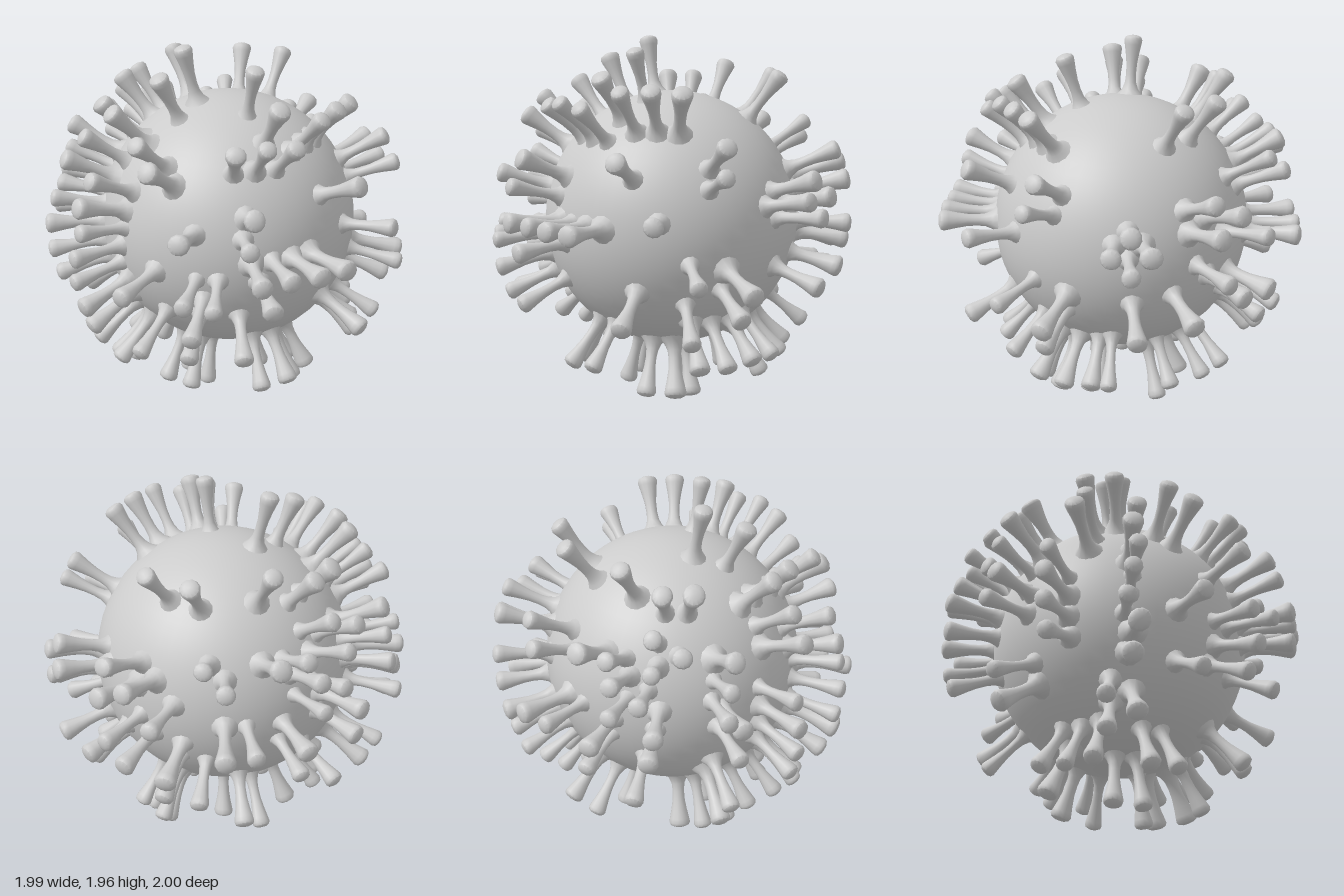
import * as THREE from 'three';
import { toCreasedNormals } from 'three/addons/utils/BufferGeometryUtils.js';

const CORE_R = 0.695;
const CENTER_Y = 1.02;
const ROW_GAP = 0.16;
const RING_R = 0.1;

// Spikes grow singly, in short rows (tilt in degrees, 0 = level) or in rings.
// Each centre is [azimuth, elevation] in degrees (azimuth 0 = front, 90 = left).
const CLUMPS = [
  { size: 1, tilt: 0, at: [
    [-18, 16], [10, -5], [-36, -4], [2, -24], [-34, -26], [46, 26], [48, -24], [24, 55],
    [24, 72], [-83, 76], [-60, 64], [59, 8], [72, -10], [118, -16], [71, -30], [145, 53],
    [210, 55], [169, 53], [163, 10], [224, -19], [136, -13], [177, -19], [108, -40],
    [185, -69], [-118, -64]] },
  { size: 2, tilt: 0, at: [
    [-12, -4], [19, -47], [239, 50], [209, 29], [190, 2], [57, -62], [-35, -58],
    [-50, -76], [-70, 47]] },
  { size: 2, tilt: 80, at: [
    [4, 19], [-15, -19], [82, 26], [88, -18], [-103, 3], [210, -4], [230, 3], [166, -14],
    [158, -44], [137, -54], [80, -74], [-56, 22], [-56, -20], [-75, 31], [-105, -28]] },
  { size: 2, tilt: 135, at: [[-36, 38], [182, 27], [150, -4], [197, -39]] },
  { size: 3, tilt: 0, at: [[12, 43], [88, -43], [-90, -56], [55, 49]] },
  { size: 3, tilt: 80, at: [[-105, 20], [-57, 1]] },
  { size: 3, ring: true, at: [[147, 19], [220, 17], [233, 32], [-62, -41]] },
  { size: 4, tilt: 0, at: [[20, 4]] },
  { size: 4, tilt: 90, at: [[-83, -3]] },
  { size: 4, ring: true, at: [[116, 12]] },
];

let seed = 7;
const rand = () => (seed = (seed * 16807) % 2147483647) / 2147483647;

// Unit directions of all spikes
function spikeDirections() {
  const dirs = [];
  for (const { size, tilt, ring, at } of CLUMPS) {
    for (const [azimuth, elevation] of at) {
      const a = THREE.MathUtils.degToRad(azimuth), e = THREE.MathUtils.degToRad(elevation);
      const out = new THREE.Vector3().setFromSphericalCoords(1, Math.PI / 2 - e, a);
      const side = new THREE.Vector3(Math.cos(a), 0, -Math.sin(a));
      const up = new THREE.Vector3().crossVectors(out, side);
      for (let i = 0; i < size; i++) {
        const turn = ring ? (i / size) * Math.PI * 2 : THREE.MathUtils.degToRad(tilt);
        const reach = ring ? RING_R : (i - (size - 1) / 2) * ROW_GAP;
        dirs.push(out.clone()
          .addScaledVector(side, Math.cos(turn) * reach)
          .addScaledVector(up, Math.sin(turn) * reach)
          .normalize());
      }
    }
  }
  return dirs;
}

// Flared foot, thin neck, club-shaped head with a shallow domed end.
function spikeGeometry() {
  const profile = [
    [0.072, 0.672], [0.045, 0.703], [0.032, 0.738], [0.028, 0.78], [0.03, 0.835],
    [0.038, 0.89], [0.047, 0.937], [0.051, 0.96], [0.045, 0.976], [0.025, 0.986], [0, 0.988],
  ].map(([r, y]) => new THREE.Vector2(r, y));
  return toCreasedNormals(new THREE.LatheGeometry(profile, 12), 0.8);
}

export function createModel() {
  const model = new THREE.Group();
  model.name = 'spikedSphere';
  const material = new THREE.MeshStandardMaterial({ color: 0xcccccc });

  const body = new THREE.Group();
  body.name = 'body';
  body.position.y = CENTER_Y;
  model.add(body);

  const core = new THREE.Mesh(new THREE.SphereGeometry(CORE_R, 48, 32), material);
  core.name = 'core';
  body.add(core);

  // Spikes, with slight variation in thickness and length
  const spikes = new THREE.Group();
  spikes.name = 'spikes';
  body.add(spikes);
  const geometry = spikeGeometry();
  const yAxis = new THREE.Vector3(0, 1, 0);
  for (const dir of spikeDirections()) {
    const spike = new THREE.Mesh(geometry, material);
    spike.name = 'spike';
    spike.quaternion.setFromUnitVectors(yAxis, dir);
    spike.rotateY(rand() * Math.PI * 2);
    const thick = 0.92 + rand() * 0.2;
    spike.scale.set(thick, 0.99 + rand() * 0.035, thick * (0.9 + rand() * 0.2));
    spikes.add(spike);
  }
  return model;
}
